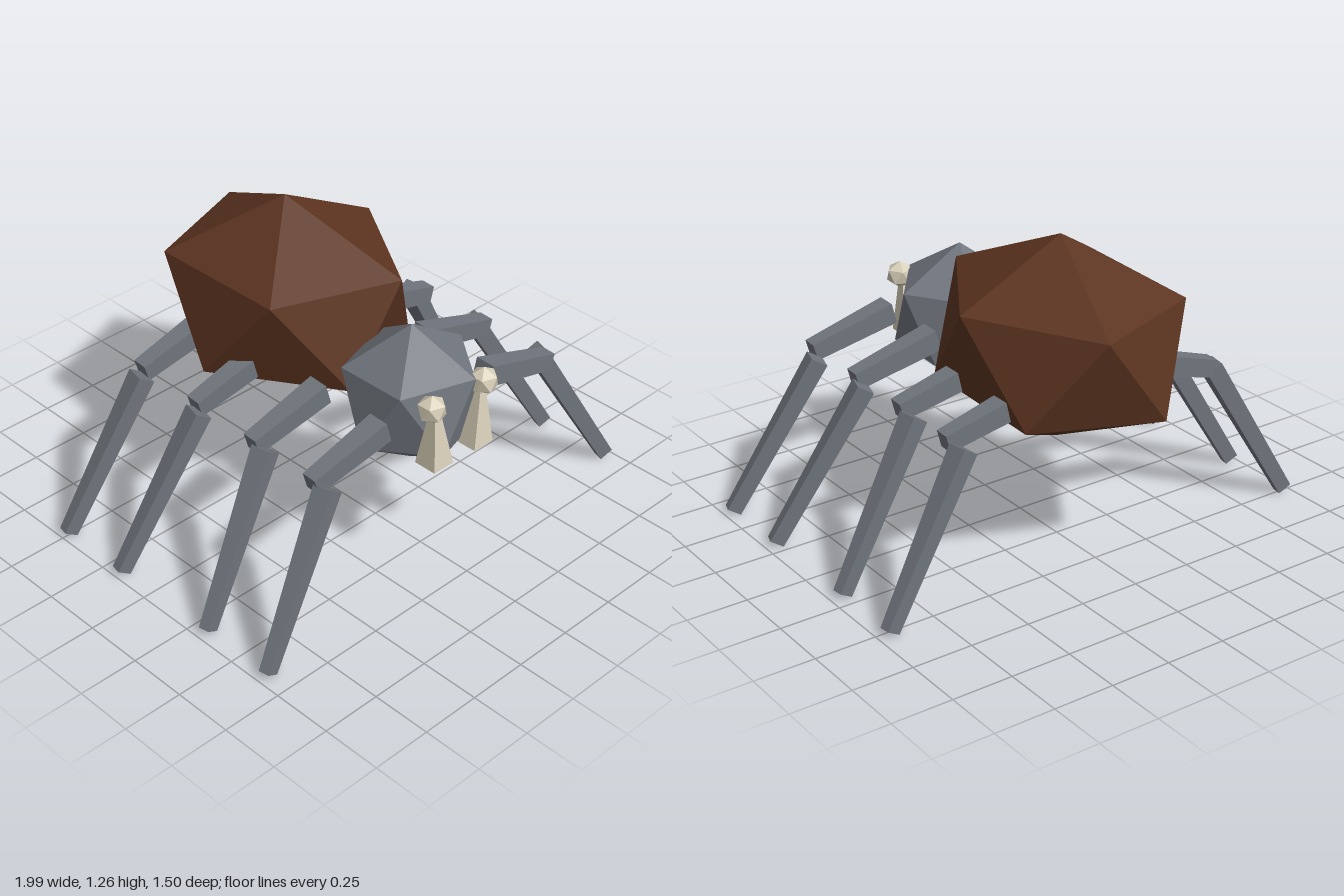
import * as THREE from 'three';
import { ConvexGeometry } from 'three/addons/geometries/ConvexGeometry.js';

const flat = (name, color) => {
  const m = new THREE.MeshStandardMaterial({ color, flatShading: true });
  m.name = name;
  return m;
};

export function createModel() {
  const group = new THREE.Group();
  const brown = flat('brown', 0x5c3420);
  const grey = flat('grey', 0x70757d);
  const cream = flat('cream', 0xd8cfb8);

  // Twenty-sided ball with a pole on top and bottom
  const points = [new THREE.Vector3(0, 1, 0), new THREE.Vector3(0, -1, 0)];
  for (let i = 0; i < 10; i++) {
    const a = THREE.MathUtils.degToRad(36 * i + 1);
    const y = i % 2 ? -0.4472 : 0.4472;
    points.push(new THREE.Vector3(0.8944 * Math.cos(a), y, 0.8944 * Math.sin(a)));
  }
  const ballGeometry = new ConvexGeometry(points);

  function ball(name, material, position, radii) {
    const mesh = new THREE.Mesh(ballGeometry, material);
    mesh.name = name;
    mesh.position.set(...position);
    mesh.scale.set(...radii);
    mesh.rotation.x = -0.025;
    group.add(mesh);
  }

  // Tapered square bar from point a to point b
  function bar(name, material, a, b, [w0, h0], [w1, h1], parent = group) {
    const start = new THREE.Vector3(...a), end = new THREE.Vector3(...b);
    const geometry = new THREE.BoxGeometry(1, 1, start.distanceTo(end));
    const p = geometry.attributes.position;
    for (let i = 0; i < p.count; i++) {
      const far = p.getZ(i) > 0;
      p.setX(i, p.getX(i) * (far ? w1 : w0));
      p.setY(i, p.getY(i) * (far ? h1 : h0));
    }
    geometry.computeVertexNormals();
    const mesh = new THREE.Mesh(geometry, material);
    mesh.name = name;
    mesh.position.copy(start).add(end).multiplyScalar(0.5);
    mesh.lookAt(end);
    parent.add(mesh);
  }

  // Body
  ball('abdomen', brown, [0, 0.845, -0.25], [0.497, 0.42, 0.585]);
  ball('head', grey, [-0.02, 0.71, 0.45], [0.297, 0.3, 0.295]);

  // Eyes and fangs
  ball('rightEye', cream, [-0.165, 0.822, 0.69], [0.06, 0.058, 0.06]);
  ball('leftEye', cream, [0.108, 0.822, 0.695], [0.06, 0.058, 0.06]);

  function fang(name, baseX, topX, z) {
    const geometry = new THREE.BoxGeometry(0.1, 0.25, 0.1);
    const p = geometry.attributes.position;
    for (let i = 0; i < p.count; i++) {
      if (p.getY(i) < 0) continue;
      p.setX(i, p.getX(i) * 0.22 + topX - baseX);
      p.setZ(i, p.getZ(i) * 0.22);
    }
    geometry.computeVertexNormals();
    const mesh = new THREE.Mesh(geometry, cream);
    mesh.name = name;
    mesh.position.set(baseX, 0.69, z);
    group.add(mesh);
  }
  fang('rightFang', -0.138, -0.143, 0.685);
  fang('leftFang', 0.07, 0.095, 0.693);

  // Legs: side, hip x, end of upper part x and z, knee x and z, foot x and z
  const legs = [
    ['left', 0.24, 0.595, 0.592, 0.61, 0.525, 0.964, 0.635],
    ['left', 0.25, 0.605, 0.256, 0.6, 0.195, 0.955, 0.305],
    ['left', 0.26, 0.615, -0.075, 0.59, -0.145, 0.95, -0.19],
    ['left', 0.27, 0.625, -0.4, 0.59, -0.475, 0.95, -0.52],
    ['right', -0.29, -0.625, 0.535, -0.59, 0.585, -0.955, 0.65],
    ['right', -0.28, -0.615, 0.208, -0.59, 0.255, -0.955, 0.32],
    ['right', -0.27, -0.605, -0.122, -0.61, -0.095, -0.968, -0.17],
    ['right', -0.26, -0.595, -0.447, -0.61, -0.43, -0.968, -0.5],
  ];
  legs.forEach(([side, hipX, endX, endZ, kneeX, kneeZ, footX, footZ], i) => {
    const leg = new THREE.Group();
    leg.name = `${side}Leg${(i % 4) + 1}`;
    const hipZ = endZ + (side === 'left' ? -0.017 : 0.02);
    bar('upperLeg', grey, [hipX, 0.735, hipZ], [endX, 0.64, endZ], [0.09, 0.088], [0.067, 0.072], leg);
    bar('lowerLeg', grey, [kneeX, 0.632, kneeZ], [footX, 0.018, footZ], [0.083, 0.072], [0.045, 0.06], leg);
    group.add(leg);
  });

  return group;
}
